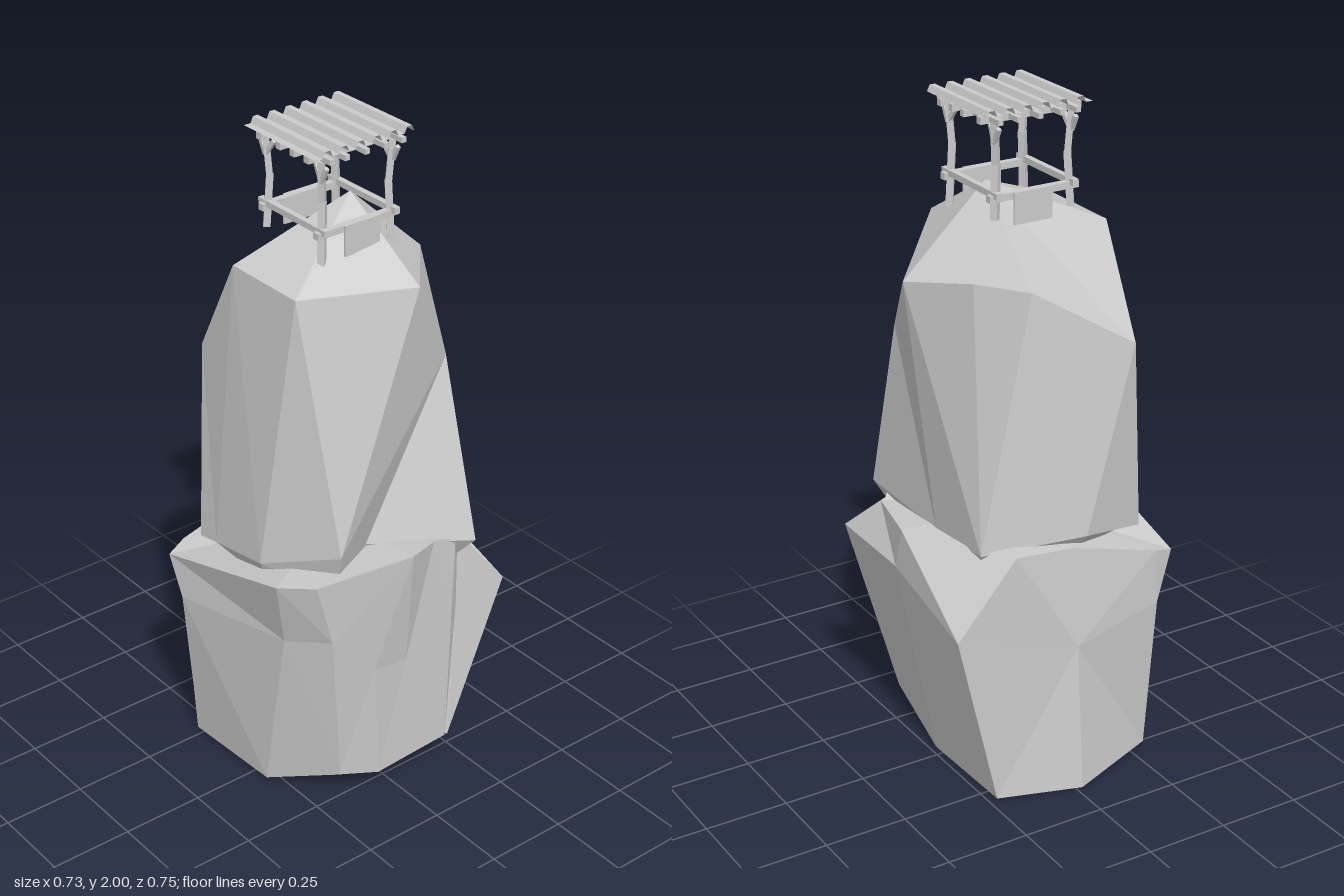
import * as THREE from 'three';

const wood = new THREE.MeshStandardMaterial({ color: 0xcccccc, flatShading: true });
const shell = new THREE.MeshStandardMaterial({ color: 0xcccccc, flatShading: true, side: THREE.DoubleSide });

function part(name, geometry, material = wood) {
  const mesh = new THREE.Mesh(geometry, material);
  mesh.name = name;
  return mesh;
}

const distance = (a, b) => Math.hypot(a[0] - b[0], a[1] - b[1], a[2] - b[2]);

// Flat-shaded loft through rings of corners, open below and closed by a fan on top
function loft(rings, top) {
  const pos = [];
  const tri = (a, b, c) => {
    if (distance(a, b) && distance(b, c) && distance(c, a)) pos.push(...a, ...b, ...c);
  };
  const n = rings[0].length;
  const last = rings[rings.length - 1];
  for (let i = 0; i < n; i++) {
    const j = (i + 1) % n;
    for (let r = 0; r < rings.length - 1; r++) {
      const a = rings[r][i], b = rings[r][j], c = rings[r + 1][j], d = rings[r + 1][i];
      // split each quad along its shorter diagonal
      if (distance(a, c) <= distance(b, d)) {
        tri(a, b, c);
        tri(a, c, d);
      } else {
        tri(a, b, d);
        tri(b, c, d);
      }
    }
    tri(last[i], last[j], top);
  }
  const g = new THREE.BufferGeometry();
  g.setAttribute('position', new THREE.Float32BufferAttribute(pos, 3));
  g.computeVertexNormals();
  return g;
}

// Straight timber of square section between two points
function timber(name, a, b, size) {
  const from = new THREE.Vector3(...a), to = new THREE.Vector3(...b);
  const mesh = part(name, new THREE.BoxGeometry(size, size, from.distanceTo(to)));
  mesh.position.copy(from).lerp(to, 0.5);
  mesh.lookAt(to);
  return mesh;
}

// Hollow boulder with slanted front facets, a cleft at the front right and an undercut left side
function lowerRock() {
  const foot = [
    [-0.17, 0.085, 0.26], [-0.165, 0.085, 0.262], [-0.05, 0.055, 0.29], [0.2, 0.08, 0.3],
    [0.205, 0.08, 0.295], [0.21, 0.08, 0.3], [0.23, 0, 0.04], [0.23, 0.01, -0.31],
    [-0.02, 0, -0.375], [-0.305, 0.01, -0.27], [-0.305, 0.01, -0.265], [-0.29, 0.01, 0.06],
  ];
  const waist = [
    [-0.23, 0.6, 0.3], [-0.08, 0.45, 0.307], [0.04, 0.43, 0.302], [0.205, 0.43, 0.305],
    [0.255, 0.52, 0.27], [0.34, 0.63, 0.375], [0.355, 0.64, 0.04], [0.355, 0.55, -0.31],
    [-0.02, 0.45, -0.343], [-0.31, 0.5, -0.315], [-0.365, 0.53, -0.24], [-0.31, 0.58, 0.18],
  ];
  const rim = [
    [-0.29, 0.81, 0.305], [0.015, 0.82, 0.355], [0.13, 0.8, 0.308], [0.21, 0.78, 0.31],
    [0.27, 0.75, 0.25], [0.285, 0.745, 0.25], [0.36, 0.775, -0.01], [0.18, 0.78, -0.335],
    [-0.02, 0.75, -0.315], [-0.3, 0.67, -0.318], [-0.365, 0.65, -0.3], [-0.365, 0.8, 0.22],
  ];
  return part('lowerRock', loft([foot, waist, rim], [0, 0.78, 0]), shell);
}

// Tall block with a pointed summit, its root sunk into the lower rock
function upperRock() {
  const foot = [
    [-0.2, 0.87, 0.3], [-0.2, 0.87, 0.3], [-0.04, 0.81, 0.21], [0.26, 0.77, 0.34],
    [0.27, 0.77, -0.05], [0.25, 0.77, -0.26], [-0.07, 0.77, -0.305], [-0.295, 0.72, -0.235],
    [-0.3, 0.74, -0.15], [-0.315, 0.79, 0.08],
  ];
  const shoulder = [
    [-0.245, 1.62, 0.16], [0.09, 1.6, 0.27], [0.26, 1.31, 0.19], [0.26, 1.31, 0.19],
    [0.36, 1.53, -0.045], [0.265, 1.57, -0.255], [0.07, 1.5, -0.235], [-0.235, 1.31, -0.285],
    [-0.245, 1.62, -0.115], [-0.245, 1.62, 0.16],
  ];
  const root = foot.map(([x, , z]) => [x * 0.9, 0.71, z * 0.85]);
  // the crown bridges the dip at the front right shoulder
  const crown = shoulder.slice();
  crown[2] = [0.18, 1.577, 0.165];
  crown[3] = [0.27, 1.553, 0.06];
  return part('upperRock', loft([root, foot, shoulder, crown], [0.1, 1.77, -0.04]), shell);
}

// Corrugated sheet: raised ribs running front to back
function roofSheet() {
  const x0 = -0.155, x1 = 0.175, ribs = 6, pitch = (x1 - x0) / ribs;
  const profile = [];
  for (let i = 0; i < ribs; i++) {
    const x = x0 + i * pitch;
    profile.push([x, 1.982], [x + pitch * 0.4, 1.982], [x + pitch * 0.55, 2], [x + pitch * 0.85, 2]);
  }
  profile.push([x1, 1.982]);
  const pos = [], index = [];
  profile.forEach(([x, y], i) => {
    pos.push(x, y, 0.135, x, y, -0.175);
    if (i) index.push(2 * i - 2, 2 * i, 2 * i + 1, 2 * i - 2, 2 * i + 1, 2 * i - 1);
  });
  const g = new THREE.BufferGeometry();
  g.setAttribute('position', new THREE.Float32BufferAttribute(pos, 3));
  g.setIndex(index);
  g.computeVertexNormals();
  return part('roofSheet', g, shell);
}

function lookout() {
  const hut = new THREE.Group();
  hut.name = 'lookout';
  const xs = [-0.11, 0.13], zs = [0.1, -0.14];

  // Crooked posts with forked braces under the roof
  for (const x of xs) for (const z of zs) {
    const inX = x < 0 ? 1 : -1, inZ = z > 0 ? -1 : 1;
    const foot = z > 0 ? 1.66 : 1.69;
    const bend = [x + inX * 0.008, 1.84, z + inZ * 0.006];
    hut.add(
      timber('post', [x, foot, z], bend, 0.02),
      timber('post', [bend[0], 1.83, bend[2]], [x, 1.96, z], 0.018),
      timber('brace', [x, 1.9, z], [x + inX * 0.006, 1.945, z + inZ * 0.03], 0.012),
      timber('brace', [x, 1.9, z], [x, 1.945, z - inZ * 0.022], 0.012),
    );
  }

  // Rails on all four sides
  for (const z of zs) hut.add(timber('rail', [-0.13, 1.75, z], [0.15, 1.75, z], 0.02));
  for (const x of xs) hut.add(timber('rail', [x, 1.76, 0.125], [x, 1.76, -0.165], 0.018));

  // Hanging panels front and back
  for (const z of [0.113, -0.153]) {
    const panel = part('panel', new THREE.BoxGeometry(0.12, 0.09, 0.006));
    panel.position.set(0.018, 1.715, z);
    hut.add(panel);
  }

  // Roof frame: cross beams and rafters let into each other
  for (const z of [0.08, 0.02, -0.04, -0.125])
    hut.add(timber('crossBeam', [-0.145, 1.965, z], [0.17, 1.965, z], 0.02));
  for (const x of [-0.105, -0.055, 0.012, 0.077, 0.136])
    hut.add(timber('rafter', [x, 1.967, 0.14], [x, 1.967, -0.182], 0.015));
  hut.add(roofSheet());
  return hut;
}

export function createModel() {
  const model = new THREE.Group();
  model.name = 'rockTower';
  model.add(lowerRock(), upperRock(), lookout());
  return model;
}
